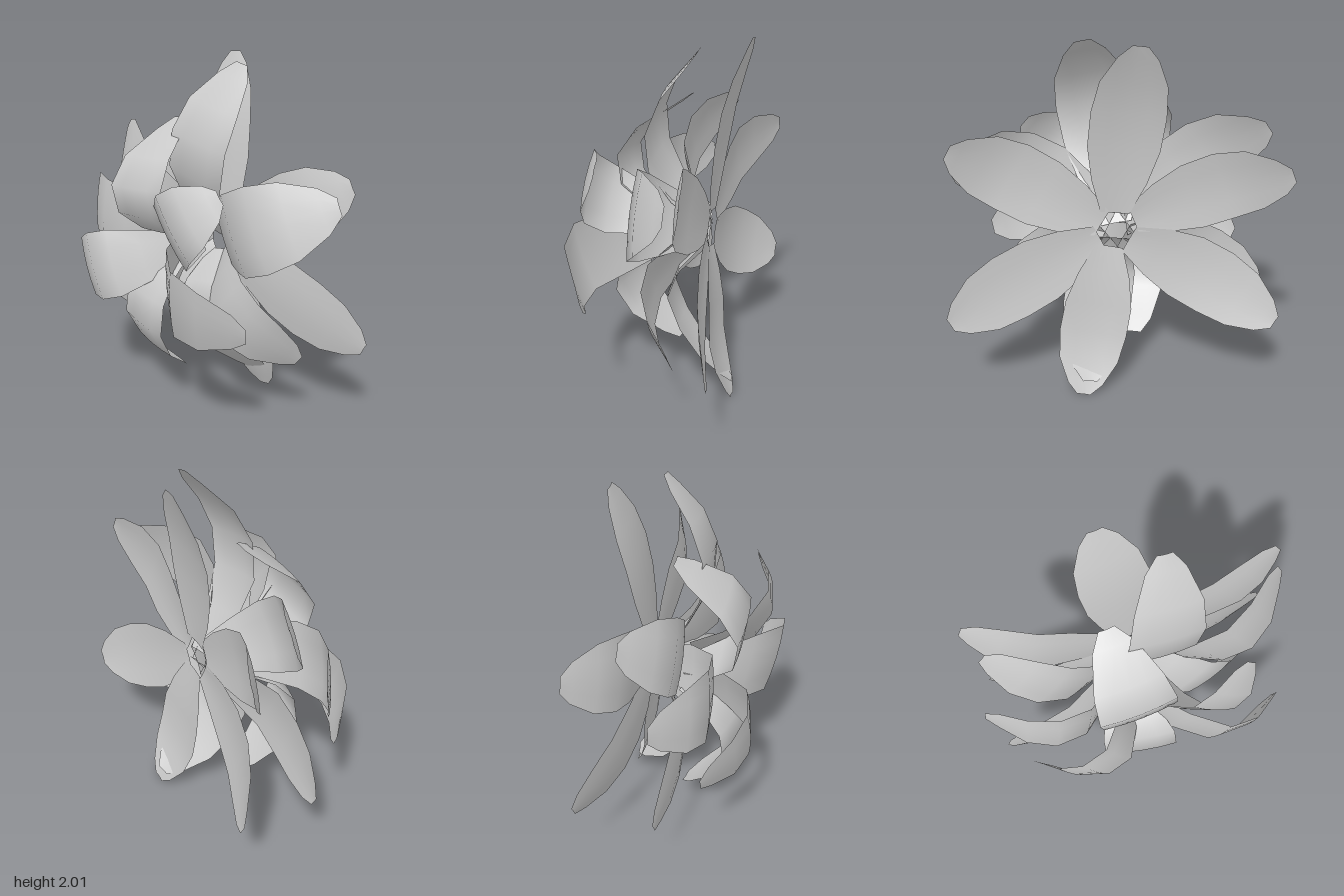
import * as THREE from 'three';

const petalGrey = new THREE.MeshStandardMaterial({ color: 0xcccccc, side: THREE.DoubleSide });
petalGrey.name = 'petalGrey';

// Rows along a petal: [position from base to tip, share of the full half width]
const ROWS = [[0, 0.4], [0.2, 0.76], [0.4, 0.98], [0.6, 1], [0.78, 0.88], [0.93, 0.52], [1, 0.2]];
const COLS = 4;

// Each layer: where along the petal its two middle depths sit, and its petals as
// base [x, y, z], first depth, second depth, tip [x, y, z], width, roll
const LAYERS = {
  outerPetal: { bends: [0.33, 0.67], petals: [
    [[0.01, 1.05, -0.23], -0.25, -0.3, [-0.1, 2.0, -0.41], 0.39, 0],
    [[0.08, 0.99, -0.23], -0.21, -0.19, [0.87, 1.44, -0.28], 0.41, 0],
    [[0.09, 0.9, -0.23], -0.26, -0.32, [0.91, 0.5, -0.42], 0.41, 0],
    [[0.04, 0.85, -0.23], -0.27, -0.3, [0.2, 0.0, -0.41], 0.38, 0],
    [[-0.09, 1.01, -0.23], -0.23, -0.27, [-0.89, 1.33, -0.45], 0.4, 0],
    [[-0.07, 0.89, -0.23], -0.24, -0.31, [-0.85, 0.47, -0.47], 0.41, 0],
  ] },
  middlePetal: { bends: [0.33, 0.67], petals: [
    [[0.0, 0.98, -0.21], 0.05, 0.06, [0.17, 1.98, -0.19], 0.42, 0],
    [[0.04, 0.97, -0.21], 0.04, 0.06, [0.86, 1.35, -0.2], 0.47, 0],
    [[0.04, 0.9, -0.21], 0.02, 0.02, [0.66, 0.42, -0.18], 0.41, 0],
    [[0.01, 0.89, -0.21], 0.0, -0.12, [0.16, 0.08, -0.4], 0.41, -0.15],
    [[-0.04, 0.9, -0.21], 0.0, 0.02, [-0.86, 0.45, -0.03], 0.4, 0],
    [[-0.05, 0.99, -0.21], 0.16, 0.19, [-0.91, 1.11, -0.03], 0.42, 0],
    [[-0.05, 0.99, -0.21], 0.0, 0.0, [-0.81, 1.5, -0.19], 0.4, 0],
  ] },
  innerPetal: { bends: [0.2, 0.58], petals: [
    [[-0.1, 0.98, -0.02], 0.26, 0.3, [-0.18, 1.66, -0.06], 0.43, 0],
    [[0.03, 1.01, -0.02], 0.28, 0.4, [0.49, 1.41, 0.27], 0.4, 0],
    [[-0.11, 0.89, -0.04], 0.24, 0.45, [0.71, 0.74, 0.29], 0.44, 0.2],
    [[-0.12, 0.92, -0.02], 0.34, 0.39, [-0.74, 0.69, 0.19], 0.4, 0],
    [[-0.13, 0.88, -0.02], 0.24, 0.28, [-0.12, 0.16, -0.03], 0.43, 0.2],
  ] },
};

// A thin curved blade swept along its spine, its edges bent slightly back
function petalGeometry([base, z1, z2, tip, width, roll], bends) {
  const a = new THREE.Vector3(...base), b = new THREE.Vector3(...tip);
  const spine = new THREE.CatmullRomCurve3([
    a,
    a.clone().lerp(b, bends[0]).setZ(z1),
    a.clone().lerp(b, bends[1]).setZ(z2),
    b,
  ]);
  const side = new THREE.Vector3(a.y - b.y, b.x - a.x, 0).normalize().setZ(roll).normalize();

  const positions = [], index = [];
  ROWS.forEach(([t, share], row) => {
    const centre = spine.getPoint(t);
    for (let c = 0; c <= COLS; c++) {
      const u = (c / COLS) * 2 - 1;
      const p = centre.clone().addScaledVector(side, u * share * width / 2);
      p.z -= 0.015 * u * u * share;
      positions.push(p.x, p.y, p.z);
      if (row && c) {
        const k = row * (COLS + 1) + c, below = k - COLS - 1;
        index.push(below - 1, k - 1, below, below, k - 1, k);
      }
    }
  });
  const geometry = new THREE.BufferGeometry();
  geometry.setAttribute('position', new THREE.Float32BufferAttribute(positions, 3));
  geometry.setIndex(index);
  geometry.computeVertexNormals();
  return geometry;
}

export function createModel() {
  const flower = new THREE.Group();
  flower.name = 'flower';
  for (const [name, { bends, petals }] of Object.entries(LAYERS)) {
    const layer = new THREE.Group();
    layer.name = name + 's';
    petals.forEach((petal, i) => {
      const mesh = new THREE.Mesh(petalGeometry(petal, bends), petalGrey);
      mesh.name = name + (i + 1);
      layer.add(mesh);
    });
    flower.add(layer);
  }
  return flower;
}
